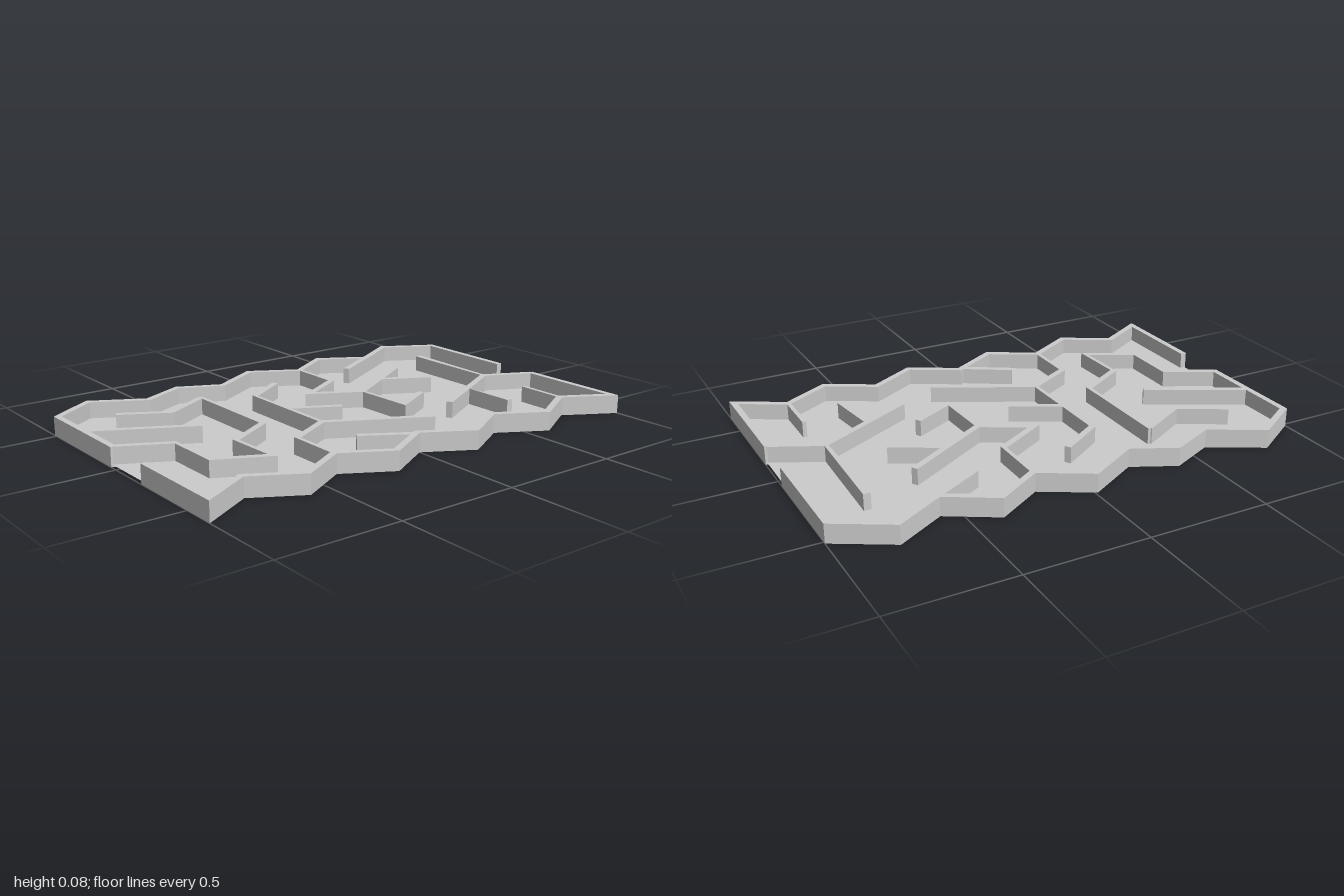
import * as THREE from 'three';

const HEIGHT = 0.078;
const FLOOR_Y = 0.01;
const DIAGONAL = 0.027; // thickness of slanted walls
const STRAIGHT = 0.017; // thickness of walls running along x

const material = new THREE.MeshStandardMaterial({ color: 0xcccccc, flatShading: true, side: THREE.DoubleSide });

// Extrudes a plan outline of [x, z] points up to the wall height
function prism(name, outline) {
  const shape = new THREE.Shape(outline.map(([x, z]) => new THREE.Vector2(x, z)));
  const geometry = new THREE.ExtrudeGeometry(shape, { depth: HEIGHT, bevelEnabled: false });
  geometry.rotateX(Math.PI / 2).translate(0, HEIGHT, 0);
  const mesh = new THREE.Mesh(geometry, material);
  mesh.name = name;
  return mesh;
}

// Follows a centreline with mitred corners; each segment keeps its own thickness
function wall(name, path, straight = STRAIGHT) {
  const segments = path.slice(1).map((b, i) => {
    const [ax, az] = path[i];
    const dx = b[0] - ax, dz = b[1] - az, length = Math.hypot(dx, dz);
    const isStraight = Math.abs(dz) < Math.abs(dx) * 0.2;
    return { nx: -dz / length, nz: dx / length, half: (isStraight ? straight : DIAGONAL) / 2 };
  });
  const side = (sign) => path.map(([x, z], i) => {
    const a = segments[Math.max(i - 1, 0)];
    const b = segments[Math.min(i, segments.length - 1)];
    const cross = a.nx * b.nz - a.nz * b.nx;
    if (a === b || Math.abs(cross) < 0.05) {
      return [x + sign * b.nx * b.half, z + sign * b.nz * b.half];
    }
    // Meeting point of the two offset lines
    return [
      x + sign * (a.half * b.nz - b.half * a.nz) / cross,
      z + sign * (b.half * a.nx - a.half * b.nx) / cross,
    ];
  });
  return prism(name, [...side(1), ...side(-1).reverse()]);
}

export function createModel() {
  const model = new THREE.Group();
  model.name = 'hexagonalMaze';

  // Zigzag boundary, open at the back and the front
  const rightSide = [
    [-0.04, -0.987], [-0.503, -0.987], [-0.625, -0.775], [-0.51, -0.575], [-0.625, -0.38],
    [-0.51, -0.19], [-0.625, 0.01], [-0.505, 0.222], [-0.59, 0.4], [-0.505, 0.585],
    [-0.625, 0.8], [-0.505, 0.987], [-0.035, 0.987],
  ];
  const leftSide = [[0.155, -0.987]];
  for (let i = 0; i <= 10; i++) {
    leftSide.push([i % 2 ? 0.505 : 0.618, -0.987 + i * 0.1974]);
  }
  leftSide.push([0.19, 0.987]);
  model.add(wall('rightBoundaryWall', rightSide, 0.026), wall('leftBoundaryWall', leftSide, 0.026));

  // Thin floor sheet
  const outline = [...rightSide, ...leftSide.slice().reverse()];
  const floorShape = new THREE.Shape(outline.map(([x, z]) => new THREE.Vector2(x, z * 1.008)));
  const floor = new THREE.Mesh(new THREE.ShapeGeometry(floorShape), material);
  floor.geometry.rotateX(Math.PI / 2).translate(0, FLOOR_Y, 0);
  floor.name = 'floor';
  model.add(floor);

  // Inner walls, from back to front
  const paths = {
    backForkWall: [[0.16, -0.985], [0.062, -0.785], [0.283, -0.373]],
    backRightSpur: [[-0.52, -0.592], [-0.4, -0.373]],
    backLeftSpur: [[0.51, -0.788], [0.3, -0.79]],
    valleyWall: [[-0.51, -0.192], [-0.28, -0.192], [-0.17, 0], [-0.062, -0.195]],
    valleyDiagonal: [[-0.062, -0.195], [-0.282, -0.565]],
    valleyBranch: [[-0.17, -0.385], [-0.063, -0.582]],
    valleyHook: [[-0.07, -0.195], [0.192, -0.205], [0.097, -0.383]],
    middleWall: [[-0.395, 0.025], [-0.28, 0.205], [0.18, 0.205], [0.285, 0.397], [0.51, 0.397]],
    middleDiagonal: [[0.39, -0.193], [0.18, 0.205]],
    middleSpur: [[0.055, 0.007], [-0.05, 0.203]],
    leftSpur: [[0.51, 0.02], [0.397, 0.205]],
    frontWindingWall: [[-0.405, 0.397], [0.055, 0.397], [0.17, 0.593], [0.395, 0.585],
      [0.295, 0.785], [0.06, 0.785], [-0.045, 0.985]],
    frontChevron: [[-0.398, 0.397], [-0.287, 0.6], [-0.395, 0.79]],
    frontSpur: [[-0.063, 0.595], [-0.268, 0.98]],
  };
  for (const [name, path] of Object.entries(paths)) model.add(wall(name, path));

  // Tapered walls
  model.add(prism('backTaperedWall', [[-0.38, -0.806], [0.06, -0.793], [0.06, -0.777], [-0.38, -0.777]]));
  model.add(prism('wedgeWall', [[0.18, -0.578], [0.41, -0.608], [0.41, -0.58]]));

  return model;
}
